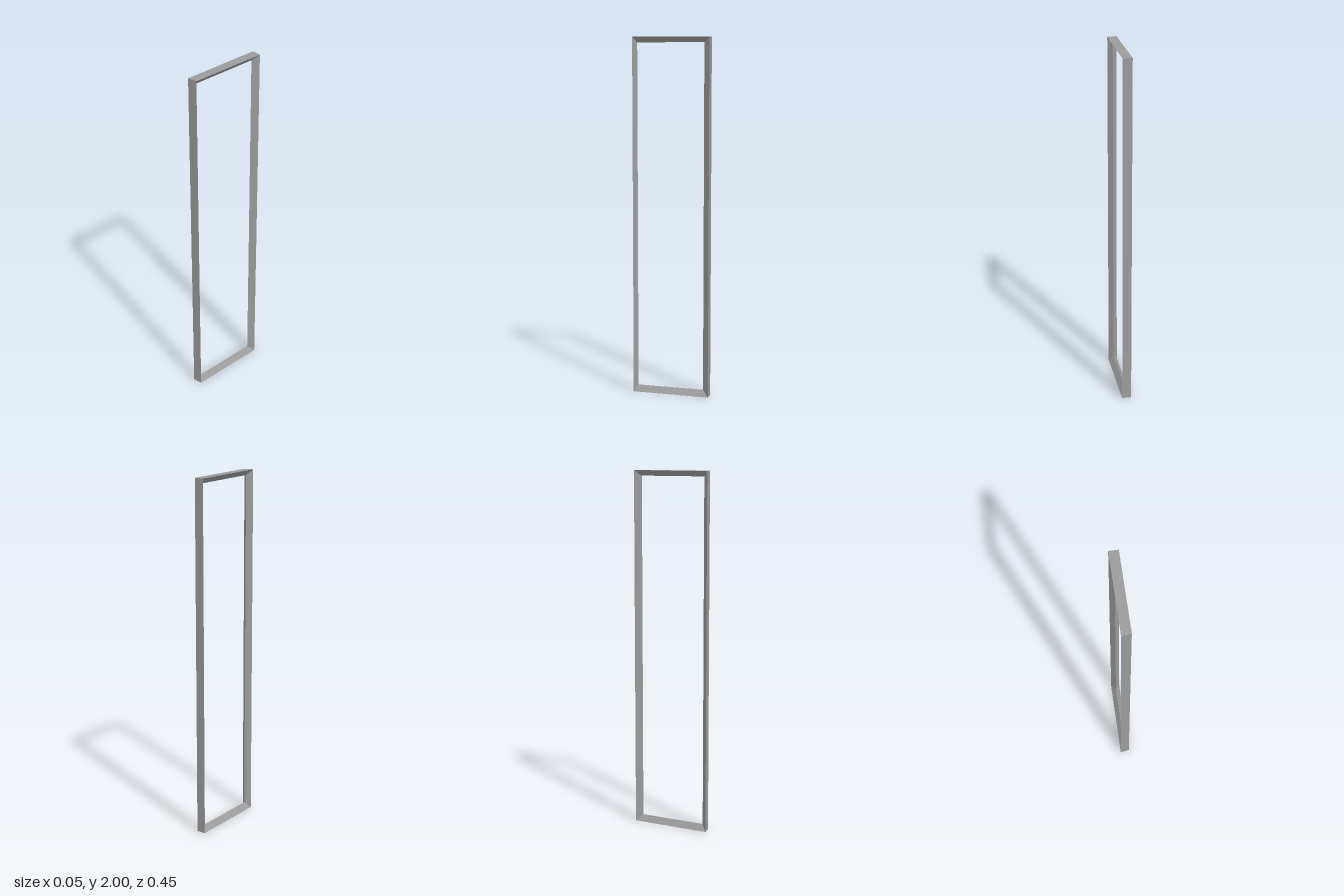
import * as THREE from 'three';

// One mitred rectangular loop: corners in order around the opening
function loop(x, yLow, yHigh, zBack, zFront) {
  return [[x, yLow, zFront], [x, yLow, zBack], [x, yHigh, zBack], [x, yHigh, zFront]];
}

export function createModel() {
  const group = new THREE.Group();
  group.name = 'frame';
  const material = new THREE.MeshStandardMaterial({ color: 0x9c9c9c, flatShading: true });

  // Triangular section: flat outer face, two bevels meeting at an inner ridge.
  // The front bar's outer face is slightly slanted.
  const loops = [
    loop(0.026, 0, 2, -0.223, 0.214),
    loop(-0.026, 0, 2, -0.223, 0.223),
    loop(0, 0.035, 1.97, -0.188, 0.193),
  ];
  const names = ['bottomBar', 'backBar', 'topBar', 'frontBar'];

  names.forEach((name, i) => {
    const j = (i + 1) % 4;
    const positions = [];
    for (let k = 0; k < 3; k++) {
      const a = loops[k], b = loops[(k + 1) % 3];
      positions.push(...a[i], ...b[i], ...b[j], ...a[i], ...b[j], ...a[j]);
    }
    const geometry = new THREE.BufferGeometry();
    geometry.setAttribute('position', new THREE.Float32BufferAttribute(positions, 3));
    geometry.computeVertexNormals();
    const bar = new THREE.Mesh(geometry, material);
    bar.name = name;
    group.add(bar);
  });
  return group;
}
